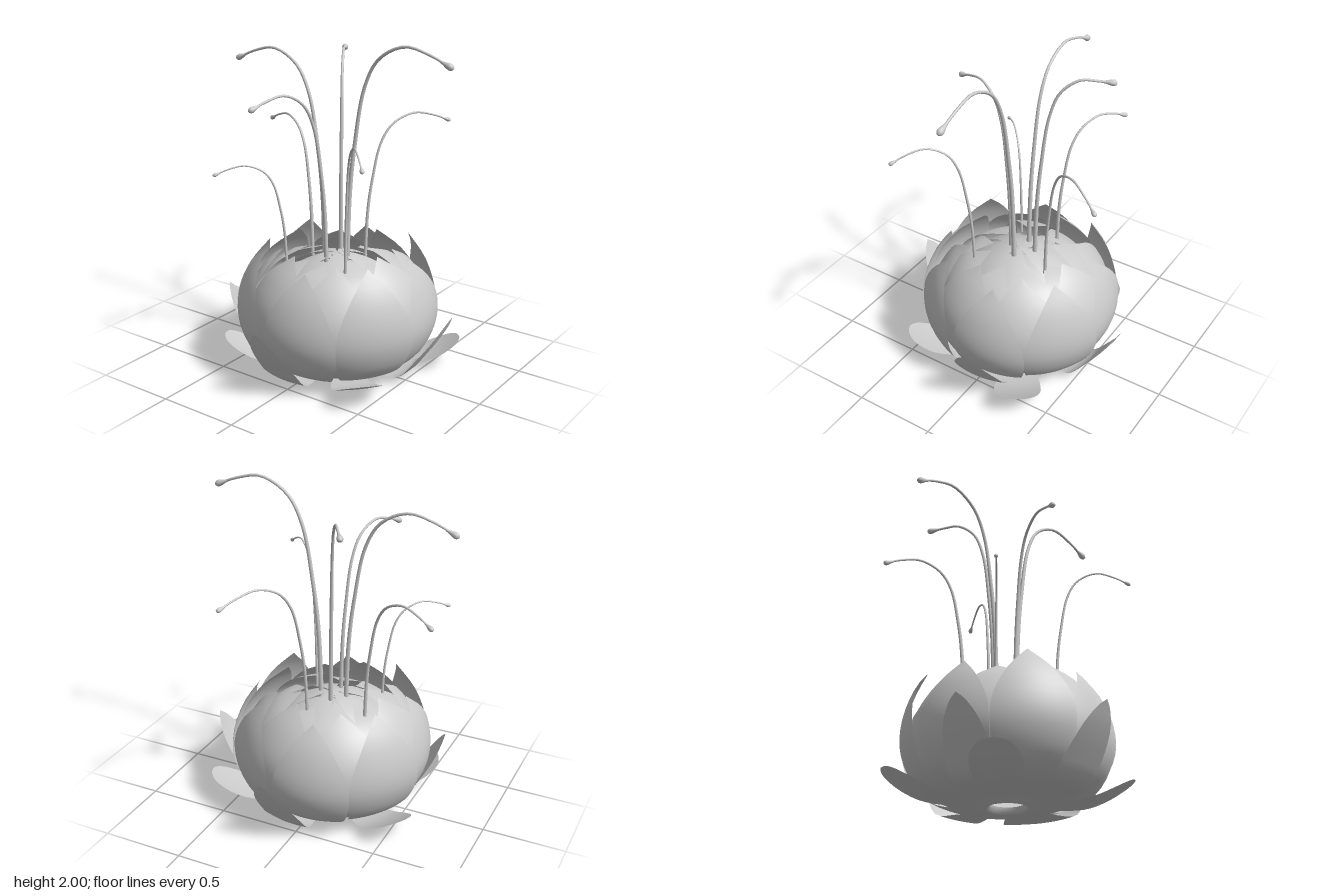
import * as THREE from 'three';

const material = new THREE.MeshStandardMaterial({ color: 0xcccccc, side: THREE.DoubleSide });

// Petal lofted along a profile of [radius, height, half width], wrapped around the y axis.
// tuck pushes one edge outward and the other inward so neighbours overlap.
function petalGeometry(profile, tuck, nu = 12, nv = 20) {
  const curve = new THREE.CatmullRomCurve3(profile.map(p => new THREE.Vector3(...p)));
  const pos = [], index = [];
  for (let j = 0; j <= nv; j++) {
    const p = curve.getPoint(j / nv);
    const w = Math.max(p.z, 0);
    for (let i = 0; i <= nu; i++) {
      const u = (i / nu) * 2 - 1;
      const ang = u * Math.min(w / Math.max(p.x, 0.02), 0.8);
      const r = p.x + tuck * u * Math.min(w / 0.2, 1);
      pos.push(Math.sin(ang) * r, p.y, Math.cos(ang) * r);
      if (i < nu && j < nv) {
        const a = j * (nu + 1) + i, b = a + nu + 1;
        index.push(a, a + 1, b, a + 1, b + 1, b);
      }
    }
  }
  const g = new THREE.BufferGeometry();
  g.setAttribute('position', new THREE.Float32BufferAttribute(pos, 3));
  g.setIndex(index);
  g.computeVertexNormals();
  return g;
}

function addPetal(group, name, profile, azimuth, tuck) {
  const mesh = new THREE.Mesh(petalGeometry(profile, tuck), material);
  mesh.name = name;
  mesh.rotation.y = azimuth;
  group.add(mesh);
}

// Ring of bud petals, alternating slightly in size
function addWhorl(parent, name, count, startDeg, profile, tuck) {
  const group = new THREE.Group();
  group.name = name + 'Whorl';
  for (let i = 0; i < count; i++) {
    const k = i % 2 ? 1 : -1;
    const varied = profile.map(([r, y, w], n) => {
      const t = n / (profile.length - 1);
      return [r * (1 + 0.018 * k * t), y + 0.02 * k * t * t, w];
    });
    addPetal(group, name, varied, THREE.MathUtils.degToRad(startDeg) + (i / count) * Math.PI * 2, tuck);
  }
  parent.add(group);
}

// Stamen: tapered stem that rises, arches outward and ends in a teardrop bulb
const ARCH = [[0, 0], [0.03, 0.36], [0.08, 0.57], [0.18, 0.82], [0.32, 0.94], [0.57, 1]];
function stamen([bx, bz], [tx, tz], apex, tipY, thick) {
  const y0 = 0.6, n = 40, sides = 8;
  const drop = (apex - tipY) / (apex - y0);
  const arch = [...ARCH, [0.8, 1 - drop * 0.35], [1, 1 - drop]];
  const curve = new THREE.CatmullRomCurve3(arch.map(([s, h]) =>
    new THREE.Vector3(bx + (tx - bx) * s, y0 + (apex - y0) * h, bz + (tz - bz) * s)));
  const geo = new THREE.TubeGeometry(curve, n, thick, sides);
  const p = geo.attributes.position, v = new THREE.Vector3();
  for (let i = 0; i <= n; i++) {
    const c = curve.getPointAt(i / n), k = 1 - 0.55 * (i / n);
    for (let j = 0; j <= sides; j++) {
      const id = i * (sides + 1) + j;
      v.fromBufferAttribute(p, id).sub(c).multiplyScalar(k).add(c);
      p.setXYZ(id, v.x, v.y, v.z);
    }
  }
  const group = new THREE.Group();
  group.name = 'stamen';
  const stem = new THREE.Mesh(geo, material);
  stem.name = 'stem';

  const b = thick * 1.25;
  const bulbProfile = [[0.35, -3.4], [0.5, -2.4], [0.85, -1.1], [1, -0.3], [0.9, 0.3], [0.55, 0.8], [0, 1]]
    .map(([r, y]) => new THREE.Vector2(r * b, y * b));
  const bulb = new THREE.Mesh(new THREE.LatheGeometry(bulbProfile, 12), material);
  bulb.name = 'bulb';
  bulb.position.copy(curve.getPoint(1));
  bulb.quaternion.setFromUnitVectors(new THREE.Vector3(0, 1, 0), curve.getTangent(1));
  group.add(stem, bulb);
  return group;
}

export function createModel() {
  const flower = new THREE.Group();
  flower.name = 'flower';

  // Bud whorls, from the outside in
  addWhorl(flower, 'outerPetal', 8, 12, [[0.3, 0.035, 0.06], [0.42, 0.06, 0.13], [0.53, 0.14, 0.195],
    [0.6, 0.29, 0.235], [0.605, 0.43, 0.225], [0.555, 0.6, 0.135], [0.46, 0.75, 0]], 0.012);
  addWhorl(flower, 'middlePetal', 8, 34, [[0.12, 0.015, 0.07], [0.36, 0.05, 0.17], [0.51, 0.15, 0.22],
    [0.565, 0.31, 0.25], [0.55, 0.47, 0.23], [0.46, 0.63, 0.15], [0.33, 0.75, 0]], 0.015);
  addWhorl(flower, 'innerPetal', 9, 10, [[0.12, 0.04, 0.07], [0.38, 0.13, 0.18], [0.5, 0.32, 0.21],
    [0.48, 0.49, 0.2], [0.36, 0.63, 0.13], [0.18, 0.71, 0]], 0.015);
  addWhorl(flower, 'heartPetal', 10, 0, [[0.12, 0.07, 0.07], [0.35, 0.18, 0.16], [0.43, 0.36, 0.18],
    [0.38, 0.51, 0.15], [0.23, 0.63, 0.09], [0.1, 0.68, 0.05], [0.0, 0.69, 0]], 0.01);

  // Sepals: four upright, four spread flat, each given as tip x, z
  const upright = [[0.2, 0.02, 0.05], [0.34, 0.025, 0.1], [0.5, 0.05, 0.14], [0.6, 0.17, 0.135],
    [0.69, 0.31, 0.1], [0.735, 0.4, 0.045], [0.755, 0.44, 0]];
  const spread = [[0.2, 0.018, 0.05], [0.36, 0.025, 0.1], [0.52, 0.05, 0.135], [0.64, 0.1, 0.14],
    [0.71, 0.14, 0.115], [0.75, 0.165, 0.07], [0.765, 0.175, 0]];
  const sepals = new THREE.Group();
  sepals.name = 'sepals';
  const addSepal = (name, profile, x, z) => {
    const scale = Math.hypot(x, z) / profile[6][0];
    addPetal(sepals, name, profile.map(([r, y, w]) => [r * scale, y, w]), Math.atan2(x, z), 0);
  };
  for (const [x, z] of [[0.09, -0.75], [0.75, -0.09], [-0.03, 0.75], [-0.65, 0.25]])
    addSepal('uprightSepal', upright, x, z);
  for (const [x, z] of [[0.645, -0.385], [0.53, 0.49], [-0.55, 0.42], [-0.62, -0.36]])
    addSepal('spreadSepal', spread, x, z);
  flower.add(sepals);

  // Open rim under the bud
  const rimProfile = [[0.1, 0.04], [0.105, 0.01], [0.125, 0], [0.15, 0.008], [0.2, 0.025]];
  const rim = new THREE.Mesh(new THREE.LatheGeometry(rimProfile.map(p => new THREE.Vector2(...p)), 32), material);
  rim.name = 'rim';
  flower.add(rim);

  // Stamens: base xz, tip xz, apex height, tip height, stem radius
  const stamens = new THREE.Group();
  stamens.name = 'stamens';
  for (const s of [
    [[0.07, 0], [0.735, 0], 1.99, 1.91, 0.016],
    [[-0.09, 0], [-0.735, 0], 1.895, 1.81, 0.015],
    [[0.06, -0.21], [0.35, -0.68], 1.505, 1.44, 0.011],
    [[-0.03, -0.08], [-0.255, -0.44], 1.875, 1.86, 0.015],
    [[-0.26, -0.1], [-0.72, -0.29], 1.445, 1.38, 0.012],
    [[-0.26, 0.16], [-0.56, 0.45], 1.25, 1.2, 0.009],
    [[-0.02, 0.08], [-0.19, 0.54], 1.71, 1.655, 0.014],
    [[0.2, 0.2], [0.53, 0.52], 1.495, 1.425, 0.01],
  ]) stamens.add(stamen(...s));
  flower.add(stamens);

  return flower;
}
